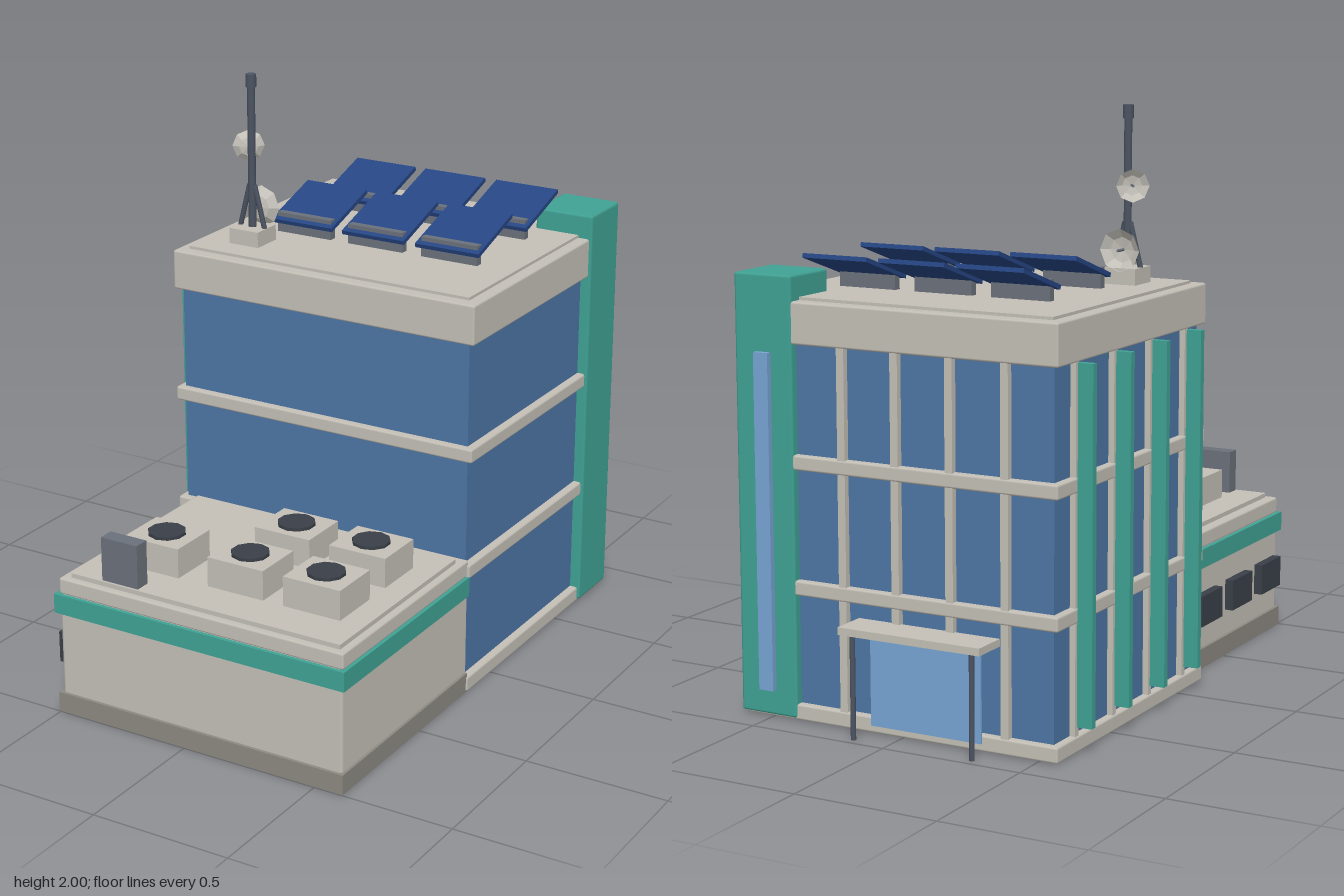
import * as THREE from 'three';
import { RoundedBoxGeometry } from 'three/addons/geometries/RoundedBoxGeometry.js';

const mat = (name, color, extra = {}) => {
  const m = new THREE.MeshStandardMaterial({ color, ...extra });
  m.name = name;
  return m;
};

export function createModel() {
  const root = new THREE.Group();
  root.name = 'officeBuilding';

  const concrete = mat('concrete', 0xc4c0b7);
  const plinthGrey = mat('plinthGrey', 0x8c8981);
  const teal = mat('teal', 0x40a294);
  const glass = mat('glass', 0x4d75a4);
  const paleGlass = mat('paleGlass', 0x78a5d3);
  const navy = mat('panelNavy', 0x264583);
  const steel = mat('steel', 0x6b717b);
  const darkSteel = mat('darkSteel', 0x4c5563);
  const charcoal = mat('charcoal', 0x3a4048);

  const add = (name, geo, material, parent = root) => {
    const m = new THREE.Mesh(geo, material);
    m.name = name;
    parent.add(m);
    return m;
  };
  // Box given by its limits; a bevel radius rounds its edges
  const box = (name, material, x0, x1, y0, y1, z0, z1, bevel = 0, parent = root) => {
    const s = [x1 - x0, y1 - y0, z1 - z0];
    const geo = bevel ? new RoundedBoxGeometry(...s, 1, bevel) : new THREE.BoxGeometry(...s);
    const m = add(name, geo, material, parent);
    m.position.set((x0 + x1) / 2, (y0 + y1) / 2, (z0 + z1) / 2);
    return m;
  };
  // Straight rod between two points
  const rod = (name, material, a, b, r, sides = 8, parent = root) => {
    const p = new THREE.Vector3(...a), q = new THREE.Vector3(...b);
    const m = add(name, new THREE.CylinderGeometry(r, r, p.distanceTo(q), sides), material, parent);
    m.position.copy(p).lerp(q, 0.5);
    m.quaternion.setFromUnitVectors(new THREE.Vector3(0, 1, 0), q.sub(p).normalize());
    return m;
  };

  // Main block: glass core with concrete floor slabs and roof
  box('glassCore', glass, -0.545, 0.582, 0.03, 1.3, -0.86, 0.155);
  [[0.003, 0.057], [0.425, 0.475], [0.843, 0.893], [1.255, 1.395]].forEach(([y0, y1], i) =>
    box(i < 3 ? 'floorSlab' : 'roofParapet', concrete, -0.57, 0.61, y0, y1, -0.885, 0.18, 0.008));
  box('roofDeck', concrete, -0.53, 0.568, 1.38, 1.405, -0.84, 0.137);

  // Vertical mullions on the back and on the fin side
  for (const x of [0.22, 0.02, -0.18, -0.38])
    box('backMullion', concrete, x - 0.014, x + 0.014, 0.03, 1.28, -0.882, -0.85);

  // Teal sun fins
  for (const z of [-0.745, -0.485, -0.225, 0.035]) {
    box('sunFin', teal, -0.625, -0.572, 0.09, 1.255, z - 0.0125, z + 0.0125);
    box('sideMullion', concrete, -0.565, -0.54, 0.03, 1.28, z - 0.012, z + 0.012);
  }

  // Stair tower with its tall window
  box('stairTower', teal, 0.4, 0.62, 0.008, 1.48, -0.89, -0.67, 0.01);
  box('stairWindow', paleGlass, 0.48, 0.535, 0.095, 1.225, -0.91, -0.885);

  // Entrance with canopy on two posts
  box('entranceGlass', paleGlass, -0.3, 0.11, 0.03, 0.335, -0.893, -0.886);
  box('canopy', concrete, -0.357, 0.165, 0.352, 0.377, -1, -0.87);
  for (const x of [-0.315, 0.125]) rod('canopyPost', darkSteel, [x, 0.003, -0.975], [x, 0.352, -0.975], 0.009);

  // Low annex
  box('annexPlinth', plinthGrey, -0.506, 0.604, 0, 0.07, 0.17, 0.998);
  box('annexWalls', concrete, -0.496, 0.596, 0.06, 0.44, 0.16, 0.988, 0.012);
  box('annexBand', teal, -0.51, 0.61, 0.365, 0.433, 0.178, 1);
  box('annexParapet', concrete, -0.497, 0.6, 0.432, 0.49, 0.165, 0.988, 0.008);
  box('annexDeck', concrete, -0.46, 0.575, 0.48, 0.506, 0.215, 0.965);
  for (const z of [0.355, 0.615, 0.873])
    box('annexWindow', charcoal, -0.527, -0.49, 0.163, 0.273, z - 0.085, z + 0.085);

  // Cooling units with fans, and a control cabinet
  for (const [x, z] of [[0.09, 0.44], [0.38, 0.44], [-0.24, 0.725], [0.09, 0.725], [0.38, 0.725]]) {
    const unit = new THREE.Group();
    unit.name = 'coolingUnit';
    unit.position.set(x, 0, z);
    root.add(unit);
    box('unitCase', concrete, -0.107, 0.107, 0.5, 0.61, -0.093, 0.093, 0, unit);
    add('unitFan', new THREE.CylinderGeometry(0.065, 0.065, 0.012, 10), charcoal, unit).position.y = 0.615;
  }
  box('controlCabinet', steel, -0.34, -0.198, 0.5, 0.66, 0.902, 0.957);

  // Two rows of tilted solar panels
  for (const z of [-0.275, -0.625]) for (const x of [-0.253, 0.034, 0.324]) {
    const panel = add('solarPanel', new THREE.BoxGeometry(0.245, 0.015, 0.256), navy);
    panel.position.set(x, 1.487, z);
    panel.rotation.x = 0.32;
    box('panelSupport', steel, x - 0.108, x + 0.108, 1.4, 1.475, z + 0.076, z + 0.104);
  }

  // Antenna mast on a block, with struts and two dishes
  const mast = new THREE.Group();
  mast.name = 'antenna';
  mast.position.set(-0.37, 0, -0.02);
  root.add(mast);
  box('mastBase', concrete, -0.058, 0.058, 1.4, 1.46, -0.058, 0.058, 0, mast);
  rod('mastPole', darkSteel, [0, 1.45, 0], [0, 1.97, 0], 0.014, 8, mast);
  rod('mastCap', darkSteel, [0, 1.955, 0], [0, 2, 0], 0.019, 8, mast);
  for (const s of [-1, 1]) rod('mastStrut', darkSteel, [s * 0.05, 1.455, 0], [s * 0.01, 1.61, 0], 0.009, 6, mast);

  const dishWhite = mat('dishWhite', 0xc6c3bb, { side: THREE.DoubleSide, flatShading: true });
  const dish = (name, x, y, z, r, turn) => {
    const g = new THREE.Group();
    g.name = name;
    g.position.set(x, y, z);
    g.rotation.y = turn;
    mast.add(g);
    // Shallow bowl opening toward -z
    const bowl = add('dishBowl', new THREE.LatheGeometry(
      [[0, 0], [r * 0.6, r * 0.12], [r, r * 0.4]].map(p => new THREE.Vector2(...p)), 8), dishWhite, g);
    bowl.rotation.x = -Math.PI / 2;
    rod('dishArm', steel, [0, 0, 0.02], [0, 0, -r * 0.6], 0.005, 6, g);
  };
  dish('lowerDish', 0, 1.52, -0.03, 0.073, 0);
  dish('upperDish', -0.025, 1.735, -0.02, 0.056, 0.6);

  return root;
}
